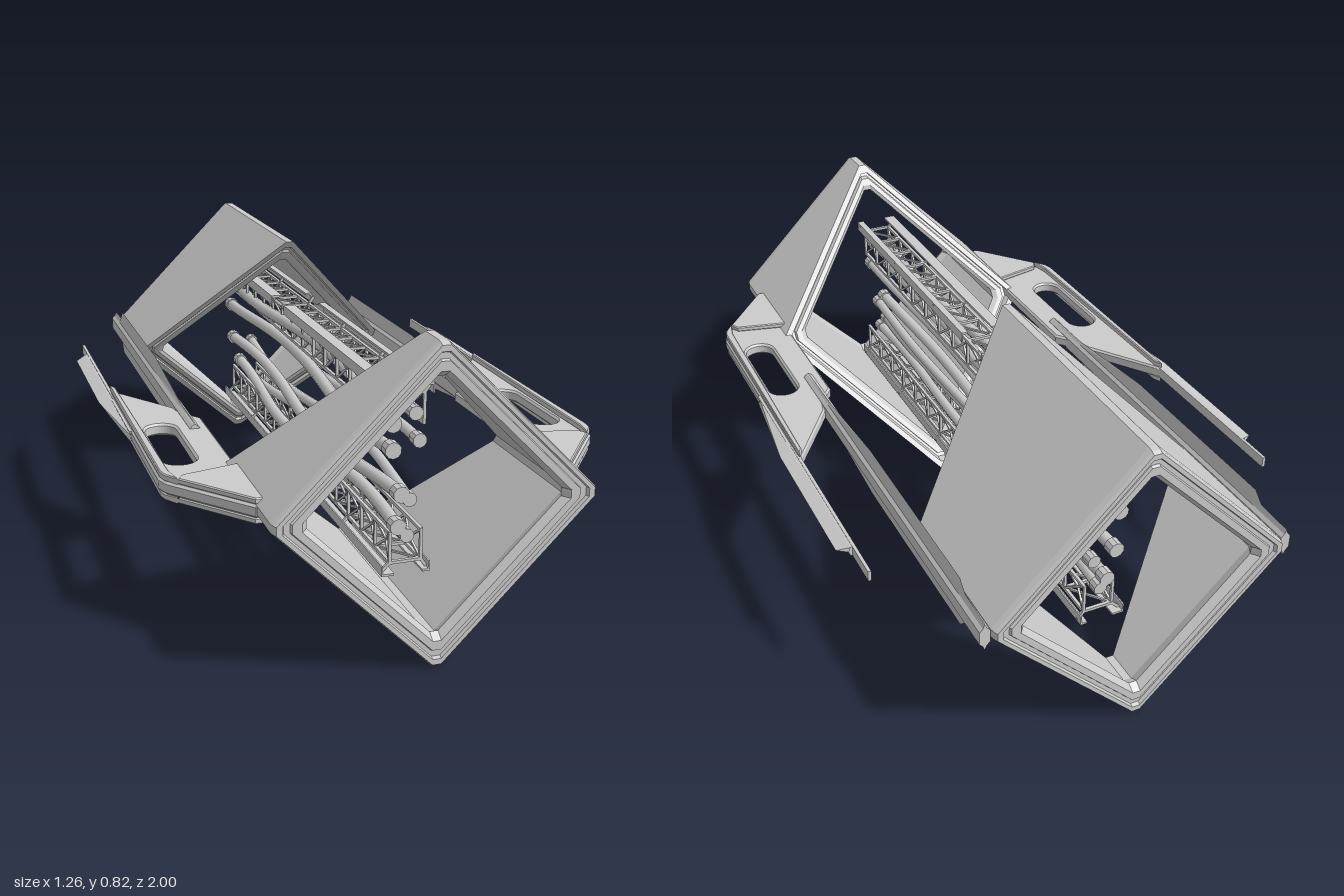
import * as THREE from 'three';
import { mergeGeometries } from 'three/addons/utils/BufferGeometryUtils.js';

const MID = 0.41; // height of the long axis
const SLOPE = 0.84; // slant of the inner tube ends
const V = (x, y, z) => new THREE.Vector3(x, y, z);
const mat = new THREE.MeshStandardMaterial({ color: 0xcccccc, flatShading: true, side: THREE.DoubleSide });
const smooth = new THREE.MeshStandardMaterial({ color: 0xcccccc });

// Skin a list of rings; either closed end to end (wrap) or capped.
function loft(rings, wrap) {
  const p = [];
  const tri = (a, b, c) => p.push(a, b, c);
  const n = rings[0].length;
  const last = wrap ? rings.length : rings.length - 1;
  for (let i = 0; i < last; i++) {
    const A = rings[i], B = rings[(i + 1) % rings.length];
    for (let j = 0; j < n; j++) {
      const k = (j + 1) % n;
      tri(A[j], B[j], B[k]);
      tri(A[j], B[k], A[k]);
    }
  }
  if (!wrap) {
    const cap = (R, flip) => {
      const c = R.reduce((s, v) => s.add(v), V(0, 0, 0)).divideScalar(n);
      for (let j = 0; j < n; j++) flip ? tri(c, R[(j + 1) % n], R[j]) : tri(c, R[j], R[(j + 1) % n]);
    };
    cap(rings[0], false);
    cap(rings[rings.length - 1], true);
  }
  // turn the faces outward when the signed volume is negative
  let vol = 0;
  for (let i = 0; i < p.length; i += 3) vol += p[i].dot(p[i + 1].clone().cross(p[i + 2]));
  if (vol < 0) for (let i = 0; i < p.length; i += 3) [p[i + 1], p[i + 2]] = [p[i + 2], p[i + 1]];
  const g = new THREE.BufferGeometry().setFromPoints(p);
  g.computeVertexNormals();
  return g;
}

// Diamond ring with clipped corners, flat or on the slanted cut
function diamond(r, z, slanted) {
  const c = 0.011;
  return [[r, -c], [r, c], [c, r], [-c, r], [-r, c], [-r, -c], [-c, -r], [c, -r]]
    .map(([x, y]) => V(x, MID + y, z + (slanted ? SLOPE * y : 0)));
}

function bar(a, b, w, h = w) {
  const d = b.clone().sub(a);
  const g = new THREE.BoxGeometry(w, h, d.length());
  const o = new THREE.Object3D();
  o.lookAt(d);
  o.position.copy(a).add(b).multiplyScalar(0.5);
  o.updateMatrix();
  return g.applyMatrix4(o.matrix);
}

function box(x0, x1, y0, y1, z0, z1) {
  return new THREE.BoxGeometry(x1 - x0, y1 - y0, z1 - z0)
    .translate((x0 + x1) / 2, (y0 + y1) / 2, (z0 + z1) / 2);
}

export function createModel() {
  const root = new THREE.Group();
  const add = (name, geo, m = mat, parent = root) => {
    const mesh = new THREE.Mesh(geo, m);
    mesh.name = name;
    parent.add(mesh);
    return mesh;
  };

  // Diamond tubes: stepped square frame outside, slanted stepped frame inside
  const frame = [[0.405, 0.99], [0.4, 1], [0.385, 1], [0.381, 0.99], [0.366, 0.99],
    [0.362, 0.997], [0.338, 0.997], [0.322, 0.975], [0.335, 0.95]];
  const cut = [[0.335, 0.6], [0.335, 0.575], [0.35, 0.565], [0.368, 0.565], [0.372, 0.577],
    [0.382, 0.577], [0.386, 0.555], [0.408, 0.555]];
  const tube = loft([...frame.map(([r, z]) => diamond(r, z, false)),
    ...cut.map(([r, z]) => diamond(r, z, true)), diamond(0.408, 0.975, false)], true);
  add('frontTube', tube);
  const back = add('backTube', tube);
  back.rotation.x = Math.PI;
  back.position.y = 2 * MID;

  // Side wings and upright fins
  for (const s of [1, -1]) {
    const wing = new THREE.Group();
    wing.name = s > 0 ? 'leftWing' : 'rightWing';
    root.add(wing);

    const plate = (pts, thick, bevel, y, slot) => {
      const shape = new THREE.Shape(pts.map(([x, z]) => new THREE.Vector2(s * x, z)));
      if (slot) {
        const hole = new THREE.Path();
        const x = s * 0.513, r = 0.037 + bevel;
        hole.absarc(x, 0.503, r, 0, Math.PI, false);
        hole.absarc(x, 0.265, r, Math.PI, Math.PI * 2, false);
        shape.holes.push(hole);
      }
      return new THREE.ExtrudeGeometry(shape, {
        depth: thick - 2 * bevel, bevelEnabled: true, bevelThickness: bevel,
        bevelSize: bevel, bevelOffset: -bevel, bevelSegments: 1, curveSegments: 8,
      }).rotateX(Math.PI / 2).translate(0, y + thick / 2 - bevel, 0);
    };
    const outline = [[0.385, 0.86], [0.41, 0.865], [0.58, 0.655], [0.592, 0.62], [0.592, -0.1],
      [0.583, -0.12], [0.44, 0.09], [0.43, 0.14], [0.385, 0.2]];
    add('wingPlate', plate(outline, 0.034, 0.006, 0.405, true), mat, wing);
    // raised edge rails above and below the plate
    for (const y of [0.38, 0.43]) {
      add('wingRail', plate([[0.555, 0.68], [0.582, 0.645], [0.588, 0.62], [0.588, -0.12], [0.575, -0.1], [0.565, 0.62]],
        0.018, 0.003, y), mat, wing);
      add('wingRootRail', plate([[0.39, 0.86], [0.41, 0.86], [0.555, 0.68], [0.54, 0.655], [0.39, 0.62]],
        0.016, 0.003, y), mat, wing);
    }
    // thin outer blade and its trailing spar
    const blade = [[0.25, 0.592], [-0.07, 0.63], [-0.53, 0.63], [-0.55, 0.603]]
      .map(([z, x]) => [V(s * 0.583, 0.39, z), V(s * 0.597, 0.392, z), V(s * x, 0.405, z),
        V(s * 0.597, 0.418, z), V(s * 0.583, 0.42, z)]);
    add('wingBlade', loft(blade, false), mat, wing);
    add('wingSpar', box(s > 0 ? 0.583 : -0.592, s > 0 ? 0.592 : -0.583, 0.39, 0.42, -0.66, -0.05), mat, wing);

    // upright fin with a star-shaped section
    const fin = [[0.29, 0.03], [0.1, 0.035], [-0.25, 0.073], [-0.84, 0.073], [-0.87, 0.045], [-0.98, 0.04]]
      .map(([z, h]) => [[0.014, -0.018], [0.014, 0.018], [0.005, 0.027], [0, h], [-0.005, 0.027],
        [-0.014, 0.018], [-0.014, -0.018], [-0.005, -0.027], [0, -h], [0.005, -0.027]]
        .map(([x, y]) => V(s * 0.424 + x, 0.405 + y, z)));
    add('uprightFin', loft(fin, false), mat, wing);
  }

  // Upper and lower trusses, mirrored about the axis
  const N = 15, step = 1.56 / N;
  for (const s of [1, -1]) {
    const Y = (y) => MID + s * (y - MID);
    const bars = [];
    for (const x of [-0.042, 0.042]) {
      for (const y of [0.552, 0.632]) bars.push(bar(V(x, Y(y), -0.78), V(x, Y(y), 0.78), 0.009));
      for (let i = 0; i <= N; i++) {
        const z = -0.78 + i * step;
        bars.push(bar(V(x, Y(0.548), z), V(x, Y(0.636), z), 0.008));
        if (i === N) continue;
        // inward-leaning braces between posts
        const m = V(x * 0.75, Y(0.592), z + step / 2);
        bars.push(bar(V(x, Y(0.632), z), m, 0.006), bar(V(x, Y(0.552), z), m, 0.006),
          bar(m, V(x, Y(0.632), z + step), 0.006), bar(m, V(x, Y(0.552), z + step), 0.006));
      }
    }
    for (let i = 0; i <= N; i++) {
      const z = -0.78 + i * step;
      bars.push(bar(V(-0.042, Y(0.632), z), V(0.042, Y(0.632), z), 0.01, 0.008));
      if (i < N) bars.push(bar(V(-0.042, Y(0.632), z), V(0.042, Y(0.632), z + step), 0.006));
      if (i % 3 === 0) bars.push(bar(V(-0.042, Y(0.632), z), V(-0.066, Y(0.655), z), 0.008),
        bar(V(0.042, Y(0.632), z), V(0.058, Y(0.655), z), 0.008));
    }
    add(s > 0 ? 'upperTruss' : 'lowerTruss', mergeGeometries(bars));

    // angle strips covering the truss edges
    const strips = [];
    for (const [z0, z1] of [[-0.05, 0.8], [-0.8, -0.18]]) {
      for (const [x0, x1, xe] of [[-0.07, -0.036, -0.07], [0.04, 0.06, 0.056]]) {
        strips.push(box(x0, x1, Y(0.657) - 0.003, Y(0.657) + 0.003, z0, z1));
        strips.push(box(xe, xe + 0.004, Y(0.645) - 0.013, Y(0.645) + 0.013, z0, z1));
      }
    }
    add(s > 0 ? 'upperCoverStrips' : 'lowerCoverStrips', mergeGeometries(strips));
  }

  // Wavy cables in four bundles of two
  const cables = new THREE.Group();
  cables.name = 'cables';
  root.add(cables);
  [0.575, 0.495, 0.358, 0.277].forEach((y, i) => {
    for (const k of [0, 1]) {
      const pts = [];
      for (let j = 0; j <= 12; j++) {
        const z = 0.78 - j * 0.13, a = z * 5 + i * 1.7 + k * 2.6;
        pts.push(V(-0.01 + (k ? 0.022 : -0.022) + 0.016 * Math.sin(a), y + 0.016 * Math.cos(a * 0.8), z));
      }
      const curve = new THREE.CatmullRomCurve3(pts);
      const r = k ? 0.015 : 0.018;
      add('cable', new THREE.TubeGeometry(curve, 60, r, 10), smooth, cables);
      // end plugs
      for (const t of [0, 1]) {
        const p = curve.getPoint(t);
        add('cablePlug', new THREE.CylinderGeometry(r + 0.004, r + 0.004, 0.03, 10)
          .rotateX(Math.PI / 2).translate(p.x, p.y, p.z), mat, cables);
      }
    }
  });

  return root;
}
